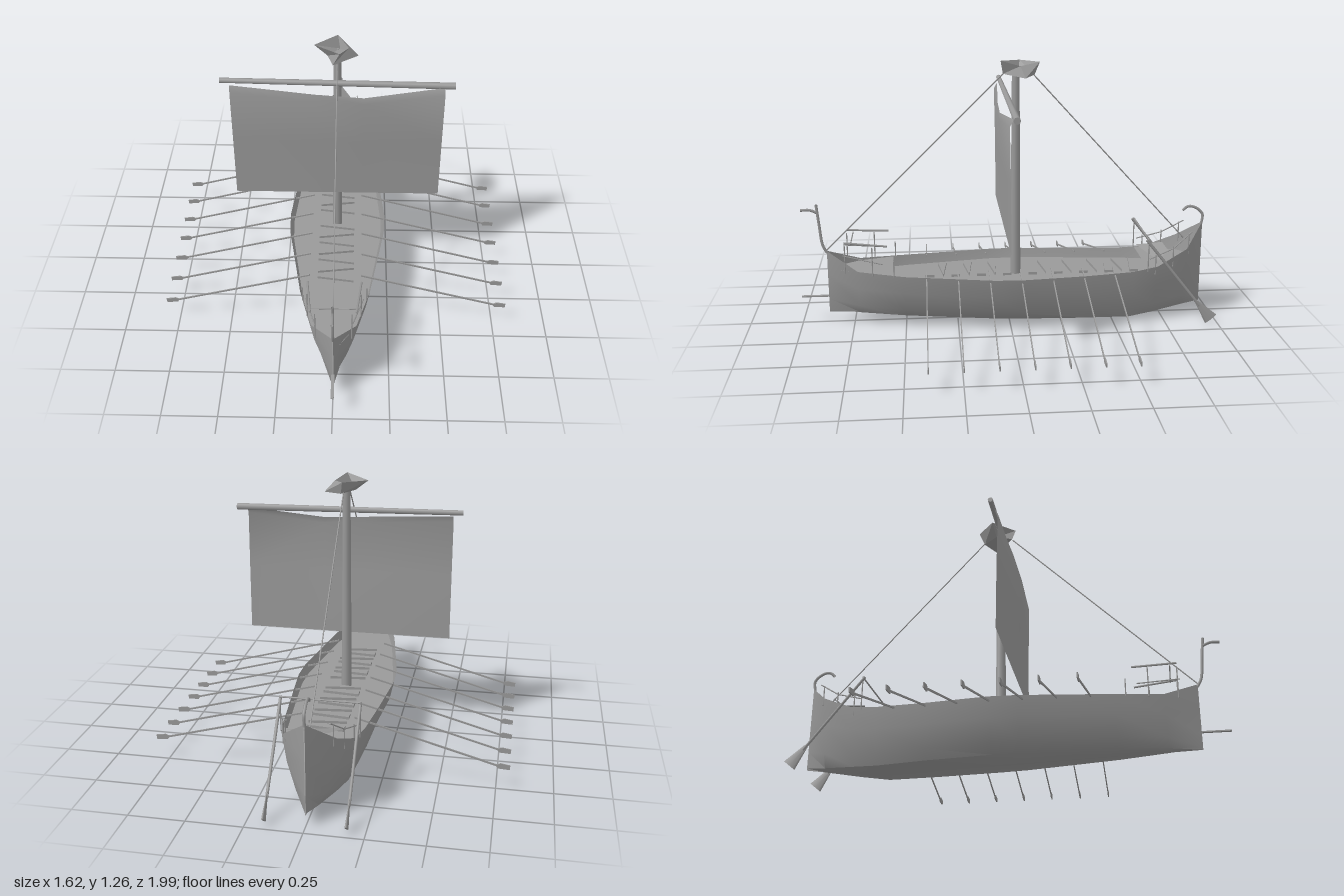
import * as THREE from 'three';
import { toCreasedNormals } from 'three/addons/utils/BufferGeometryUtils.js';

const V = (x, y, z) => new THREE.Vector3(x, y, z);

export function createModel() {
  const model = new THREE.Group();
  const wood = new THREE.MeshStandardMaterial({ color: 0x999999, side: THREE.DoubleSide });
  wood.name = 'weathered grey';

  function add(name, geometry, parent = model) {
    const mesh = new THREE.Mesh(geometry, wood);
    mesh.name = name;
    parent.add(mesh);
    return mesh;
  }
  function group(name) {
    const g = new THREE.Group();
    g.name = name;
    model.add(g);
    return g;
  }
  // Round bar between two points
  function bar(name, a, b, r0, r1 = r0, sides = 6, parent = model) {
    const d = b.clone().sub(a);
    const mesh = add(name, new THREE.CylinderGeometry(r1, r0, d.length(), sides), parent);
    mesh.position.copy(a).addScaledVector(d, 0.5);
    mesh.quaternion.setFromUnitVectors(V(0, 1, 0), d.normalize());
    return mesh;
  }
  // Surface through rows of equally many points
  function loft(rows, crease = 0.6) {
    const n = rows[0].length, index = [];
    for (let i = 0; i < rows.length - 1; i++) {
      for (let j = 0; j < n - 1; j++) {
        const a = i * n + j, b = a + n;
        index.push(a, b, a + 1, b, b + 1, a + 1);
      }
    }
    const g = new THREE.BufferGeometry().setFromPoints(rows.flat());
    g.setIndex(index);
    g.computeVertexNormals();
    return toCreasedNormals(g, crease);
  }

  // Hull stations: z, rim half width, rim y, bottom half width, keel y
  const stations = [
    [0.87, 0.002, 0.37, 0.002, 0.06],
    [0.72, 0.1, 0.295, 0.035, 0.055],
    [0.5, 0.16, 0.285, 0.08, 0.05],
    [0.08, 0.23, 0.28, 0.125, 0.038],
    [-0.05, 0.235, 0.28, 0.13, 0.035],
    [-0.35, 0.205, 0.28, 0.125, 0.027],
    [-0.58, 0.18, 0.285, 0.11, 0.02],
    [-0.7, 0.158, 0.3, 0.08, 0.03],
    [-0.85, 0.115, 0.37, 0.035, 0.045],
    [-0.95, 0.002, 0.47, 0.002, 0.06],
  ];
  add('hull', loft(stations.map(([z, w, y, b, k]) => {
    const half = [[w, y], [w * 0.8 + b * 0.2, y * 0.62 + k * 0.38],
      [w * 0.35 + b * 0.65, y * 0.22 + k * 0.78], [b, k + 0.01]];
    return [...half.map(([x, h]) => V(-x, h, z)), V(0, k, z),
      ...half.reverse().map(([x, h]) => V(x, h, z))];
  }), 0.9));

  // Decks, following the hull outline
  const deckStrip = (list, y) => loft(list.map(([z, w]) => [V(w, y, z), V(-w, y, z)]));
  add('mainDeck', deckStrip(stations.slice(1, 8).map(([z, w, , b]) => [z, w * 0.86 + b * 0.12]), 0.235));
  add('bowDeck', deckStrip([[0.84, 0.018], [0.72, 0.095], [0.56, 0.14]], 0.285));
  add('sternDeck', deckStrip([[-0.65, 0.16], [-0.85, 0.1], [-0.93, 0.015]], 0.295));
  add('sternSeat', loft([[V(-0.12, 0.32, -0.65), V(0.13, 0.32, -0.71)],
    [V(-0.06, 0.35, -0.77), V(0.07, 0.35, -0.77)]]));

  // Wedge shaped rowing benches, pointing alternately left and right
  const benches = group('rowingBenches');
  for (let i = 0; i < 17; i++) {
    const z = -0.6 + i * 0.0615;
    if (Math.abs(z + 0.03) < 0.035) continue;
    const s = i % 2 ? 1 : -1;
    const shape = new THREE.Shape([[-0.085 * s, -0.02], [0.085 * s, 0.005], [-0.085 * s, 0.022]]
      .map(([x, y]) => new THREE.Vector2(x, y)));
    const bench = add('bench', new THREE.ExtrudeGeometry(shape, { depth: 0.012, bevelEnabled: false }), benches);
    bench.rotation.x = -Math.PI / 2;
    bench.position.set(0, 0.252, z);
  }

  // Mast, yard and lookout
  bar('mast', V(0, 0.2, -0.033), V(0, 1.22, -0.033), 0.025, 0.018, 10);
  bar('yard', V(-0.53, 1.11, 0.008), V(0.53, 1.094, 0.008), 0.012, 0.016, 8);
  const nestTop = [V(-0.105, 1.258, -0.06), V(0.01, 1.27, 0.038), V(0.05, 1.25, -0.05), V(0, 1.262, -0.145)];
  const nestBase = [V(-0.045, 1.21, -0.05), V(-0.02, 1.205, 0.025), V(0.095, 1.2, -0.07), V(0.01, 1.205, -0.12)];
  const ring = p => [...p, p[0]];
  add('lookout', loft([ring(nestTop), ring(nestBase)], 0.1));
  add('lookoutFloor', loft([[nestBase[0], nestBase[1]], [nestBase[3], nestBase[2]]], 0.1));

  // Sail with a sagging top edge
  const sailRow = (x, top, bulge, zTop) => [V(x, 0.49, 0.028), V(x, 0.8, 0.03 + bulge * 0.5),
    V(x, top - 0.03, 0.035 + bulge), V(x, top, zTop)];
  add('sail', loft([sailRow(-0.485, 1.09, 0, 0.018), sailRow(-0.1, 1.063, 0.015, 0.045),
    sailRow(0.12, 1.05, 0.02, 0.05), sailRow(0.485, 1.09, 0, 0.018)]));

  // Rigging
  bar('foreStay', V(0, 1.21, 0.025), V(0, 0.375, 0.87), 0.003);
  bar('backStay', V(0, 1.21, -0.11), V(0, 0.39, -0.86), 0.003);

  // Rowing oars: thin upright shafts with flared blades, seven on each side
  const oars = group('oars');
  const oarShape = new THREE.Shape([[0.12, 0.295], [0.75, 0.121], [0.765, 0.128], [0.808, 0.121],
    [0.806, 0.1], [0.755, 0.103], [0.748, 0.113], [0.12, 0.287]].map(([x, y]) => new THREE.Vector2(x, y)));
  for (let i = 0; i < 7; i++) {
    for (const s of [1, -1]) {
      const oar = add('oar', new THREE.ExtrudeGeometry(oarShape, { depth: 0.005, bevelEnabled: false }), oars);
      oar.position.z = -0.49 + i * 0.148 - s * 0.0025;
      if (s < 0) oar.rotation.y = Math.PI;
    }
  }

  // Steering oars, their cross beam, and the rails, mirrored on both sides
  const fittings = group('railsAndSteering');
  const rail = (a, b, r = 0.003) => bar('rail', a, b, r, r, 5, fittings);
  for (const s of [1, -1]) {
    bar('steeringShaft', V(s * 0.173, 0.44, -0.64), V(s * 0.173, 0.1, -0.91), 0.007, 0.007, 6, fittings);
    const blade = bar('steeringBlade', V(s * 0.173, 0.12, -0.895), V(s * 0.173, 0.03, -0.968), 0.009, 0.034, 8, fittings);
    blade.scale.x = 0.2;
    rail(V(s * 0.173, 0.28, -0.65), V(s * 0.173, 0.44, -0.65));
    // Stern rail, climbing aft
    rail(V(s * 0.16, 0.34, -0.66), V(s * 0.13, 0.38, -0.78));
    rail(V(s * 0.13, 0.38, -0.78), V(s * 0.09, 0.45, -0.88));
    for (const [x, y, z] of [[0.155, 0.35, -0.69], [0.13, 0.38, -0.78], [0.1, 0.43, -0.86]])
      rail(V(s * x, y - 0.09, z), V(s * x, y + 0.01, z));
    // Bow rail
    rail(V(s * 0.1, 0.44, 0.78), V(s * 0.12, 0.425, 0.58), 0.005);
    rail(V(s * 0.08, 0.37, 0.79), V(s * 0.13, 0.34, 0.6));
    for (const [x, h, z] of [[0.08, 0.43, 0.78], [0.12, 0.42, 0.65], [0.145, 0.36, 0.55]])
      rail(V(s * x, 0.28, z), V(s * x, h, z));
  }
  rail(V(-0.175, 0.44, -0.65), V(0.175, 0.44, -0.65), 0.004);
  rail(V(-0.1, 0.43, 0.75), V(0.1, 0.43, 0.75), 0.003);

  // Bow figure, ram and curled stern post
  const tube = (name, points, r) =>
    add(name, new THREE.TubeGeometry(new THREE.CatmullRomCurve3(points), 16, r, 5));
  tube('bowPost', [V(0, 0.36, 0.868), V(0, 0.4, 0.888), V(0, 0.5, 0.9), V(0, 0.6, 0.91)], 0.007);
  tube('bowFigurehead', [V(0, 0.56, 0.905), V(0, 0.575, 0.94), V(0, 0.575, 0.985)], 0.007);
  tube('sternCurl', [V(0, 0.46, -0.945), V(0, 0.51, -0.948), V(0, 0.545, -0.91),
    V(0, 0.55, -0.875), V(0, 0.53, -0.85)], 0.007);
  add('ram', new THREE.BoxGeometry(0.014, 0.006, 0.13)).position.set(0, 0.142, 0.935);

  return model;
}
